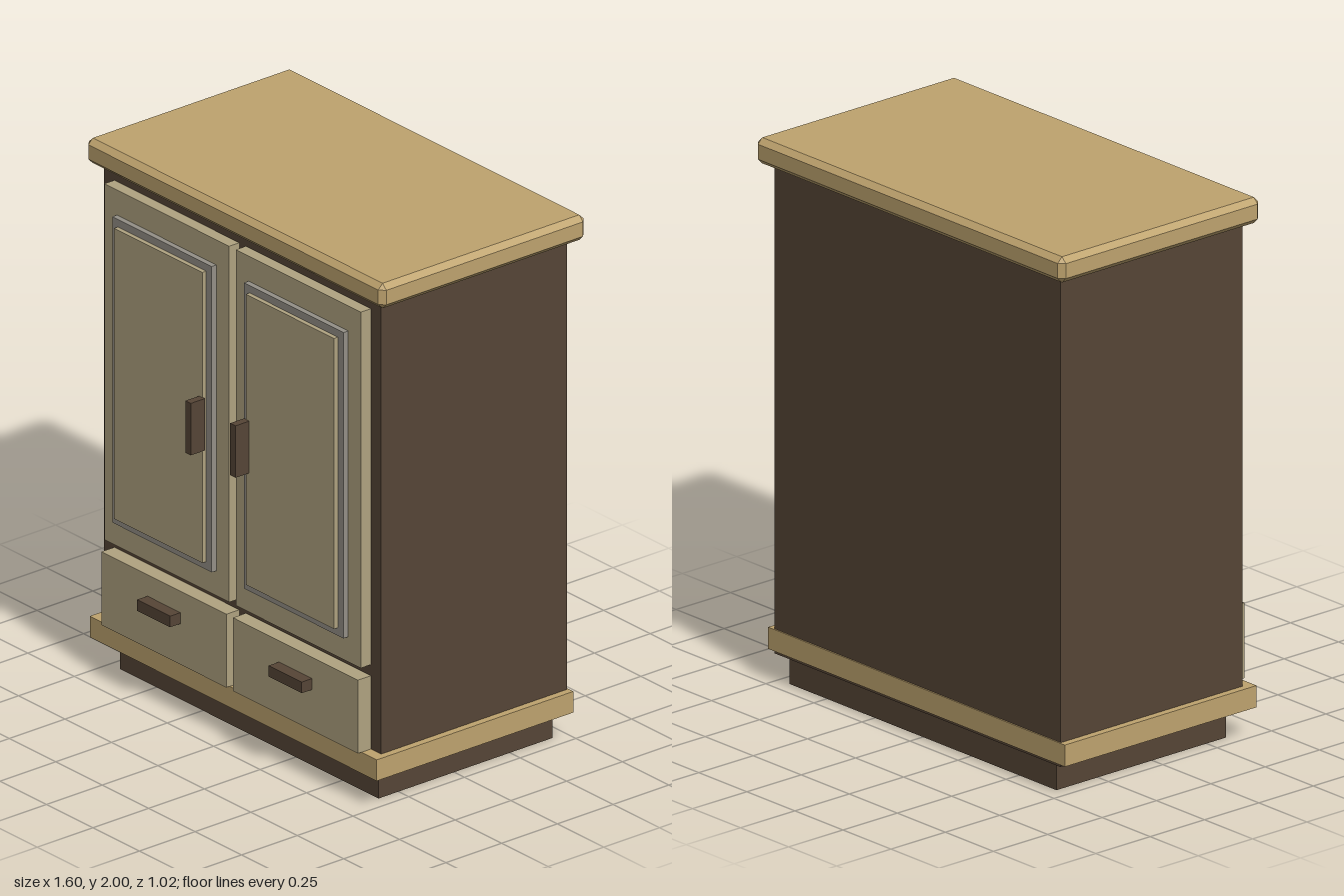
import * as THREE from 'three';
import { ConvexGeometry } from 'three/addons/geometries/ConvexGeometry.js';

const material = (color) => new THREE.MeshStandardMaterial({ color });

// Box given by its extents along each axis
function box(name, mat, [x0, x1], [y0, y1], [z0, z1]) {
  const mesh = new THREE.Mesh(new THREE.BoxGeometry(x1 - x0, y1 - y0, z1 - z0), mat);
  mesh.position.set((x0 + x1) / 2, (y0 + y1) / 2, (z0 + z1) / 2);
  mesh.name = name;
  return mesh;
}

// Box with every edge and corner cut by a chamfer c
function chamferedBox(w, h, d, c) {
  const points = [];
  for (const x of [-1, 1]) for (const y of [-1, 1]) for (const z of [-1, 1]) {
    for (let axis = 0; axis < 3; axis++) {
      const half = [w / 2, h / 2, d / 2].map((v, i) => (i === axis ? v : v - c));
      points.push(new THREE.Vector3(x * half[0], y * half[1], z * half[2]));
    }
  }
  return new ConvexGeometry(points);
}

export function createModel() {
  const model = new THREE.Group();
  model.name = 'cabinet';
  const darkWood = material(0x564536);
  const lightWood = material(0xbea36e);
  const paint = material(0xb0a380);
  const trim = material(0x949087);

  // Carcass, plinth and base moulding
  model.add(
    box('plinth', darkWood, [-0.695, 0.695], [0, 0.105], [-0.44, 0.34]),
    box('body', darkWood, [-0.745, 0.745], [0.105, 1.91], [-0.465, 0.37]),
    box('baseMoulding', lightWood, [-0.772, 0.772], [0.115, 0.195], [-0.47, 0.412])
  );

  // Chamfered top board
  const top = new THREE.Mesh(chamferedBox(1.6, 0.095, 0.922, 0.02), lightWood);
  top.position.set(0, 1.9525, -0.049);
  top.name = 'topBoard';
  model.add(top);

  // Doors and drawers, mirrored about the centre post
  for (const side of [1, -1]) {
    const label = side > 0 ? 'left' : 'right';
    const span = (a, b) => (side > 0 ? [a, b] : [-b, -a]);

    const door = new THREE.Group();
    door.name = `${label}Door`;
    door.add(
      box('doorLeaf', paint, span(0.018, 0.69), [0.515, 1.865], [0.36, 0.415]),
      box('panelTrim', trim, span(0.087, 0.622), [0.61, 1.77], [0.41, 0.436]),
      box('raisedPanel', paint, span(0.117, 0.592), [0.64, 1.742], [0.43, 0.453]),
      box('doorHandle', darkWood, span(0.106, 0.135), [1.07, 1.267], [0.45, 0.514])
    );

    const drawer = new THREE.Group();
    drawer.name = `${label}Drawer`;
    drawer.add(
      box('drawerFront', paint, span(0.018, 0.69), [0.195, 0.473], [0.36, 0.428]),
      box('drawerHandle', darkWood, span(0.265, 0.443), [0.35, 0.392], [0.42, 0.474])
    );
    model.add(door, drawer);
  }
  return model;
}
